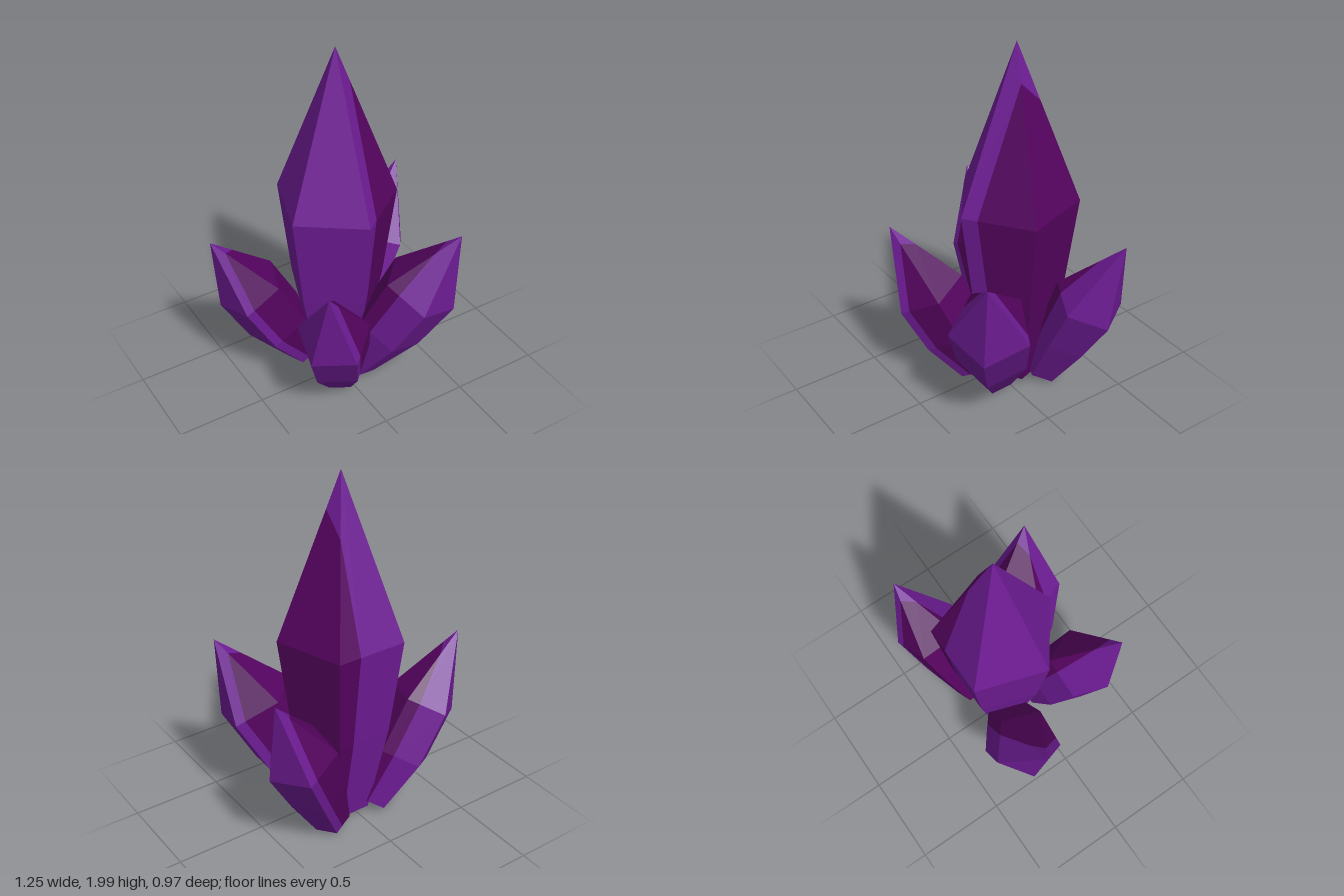
import * as THREE from 'three';

const materials = [
  new THREE.MeshStandardMaterial({ name: 'violet', color: 0x6e1c94 }),
  new THREE.MeshStandardMaterial({ name: 'deepMagenta', color: 0x55035f }),
  new THREE.MeshStandardMaterial({ name: 'paleMauve', color: 0xcc80d0 }),
];
const SIDES = 5;

// Keep the part of a polygon where dist(p) >= 0
function clip(poly, dist) {
  const out = [];
  poly.forEach((p, i) => {
    const q = poly[(i + 1) % poly.length];
    const a = dist(p), b = dist(q);
    if (a >= 0) out.push(p);
    if ((a > 0 && b < 0) || (a < 0 && b > 0)) out.push(p.clone().lerp(q, a / (a - b)));
  });
  return out;
}

// Five-sided pointed crystal. rings: [fraction along axis, radius], base first.
// facing: direction of the first corner; tintAngle: side that carries the deeper colour.
function crystal({ name, base, tip, rings, facing, tintAngle }) {
  const B = new THREE.Vector3(...base), T = new THREE.Vector3(...tip);
  const u = T.clone().sub(B).normalize();
  const e1 = new THREE.Vector3(...facing).projectOnPlane(u).normalize();
  const e2 = u.clone().cross(e1);
  const dir = (t) => e1.clone().multiplyScalar(Math.cos(t)).addScaledVector(e2, Math.sin(t));

  const sections = rings.map(([f, r]) => {
    const c = B.clone().lerp(T, f);
    return Array.from({ length: SIDES }, (_, i) =>
      c.clone().addScaledVector(dir((i / SIDES) * Math.PI * 2), r));
  });

  // Side facets and the facets of the point
  const facets = [];
  for (let i = 0; i < SIDES; i++) {
    const j = (i + 1) % SIDES;
    for (let k = 0; k + 1 < sections.length; k++) {
      const a = sections[k], b = sections[k + 1];
      facets.push([a[i], a[j], b[j], b[i]]);
    }
    const top = sections[sections.length - 1];
    facets.push([top[i], top[j], T]);
  }

  // Divide the two tones along a plane parallel to the axis
  const n = dir(THREE.MathUtils.degToRad(tintAngle));
  const offset = 0.21 * Math.max(...rings.map((r) => r[1]));
  const dist = (p) => p.clone().sub(B).dot(n) - offset;
  const groups = [
    facets.map((f) => clip(f, (p) => -dist(p))),
    facets.map((f) => clip(f, dist)),
    [sections[0].slice().reverse()],
  ];

  const positions = [];
  const geometry = new THREE.BufferGeometry();
  groups.forEach((polys, m) => {
    const start = positions.length / 3;
    for (const p of polys)
      for (let i = 1; i + 1 < p.length; i++)
        for (const v of [p[0], p[i], p[i + 1]]) positions.push(v.x, v.y, v.z);
    geometry.addGroup(start, positions.length / 3 - start, m);
  });
  geometry.setAttribute('position', new THREE.Float32BufferAttribute(positions, 3));
  geometry.computeVertexNormals();
  const mesh = new THREE.Mesh(geometry, materials);
  mesh.name = name;
  return mesh;
}

export function createModel() {
  const group = new THREE.Group();
  group.name = 'crystalCluster';
  const parts = [
    { name: 'mainCrystal', base: [0.045, 0.05, -0.1], tip: [0.045, 2, -0.1],
      rings: [[0, 0.16], [0.27, 0.268], [0.549, 0.338]], facing: [0, 0, 1], tintAngle: 90 },
    { name: 'frontLeftCrystal', base: [0.1, 0.055, 0.065], tip: [0.51, 1.0, 0.4],
      rings: [[0, 0.1], [0.31, 0.198], [0.61, 0.222]], facing: [0.625, -0.47, 0.625], tintAngle: 162 },
    { name: 'frontRightCrystal', base: [-0.05, 0.06, 0.1], tip: [-0.33, 0.96, 0.445],
      rings: [[0, 0.1], [0.28, 0.185], [0.56, 0.203]], facing: [0.14, -0.4, 0.91], tintAngle: 90 },
    { name: 'backLeftCrystal', base: [0.182, 0.056, -0.208], tip: [0.62, 1.02, -0.373],
      rings: [[0, 0.103], [0.3, 0.16], [0.58, 0.195]], facing: [0.91, -0.42, 0.08], tintAngle: 162 },
    { name: 'backRightCrystal', base: [-0.11, 0.055, -0.2], tip: [-0.625, 0.99, -0.25],
      rings: [[0, 0.1], [0.3, 0.188], [0.6, 0.19]], facing: [-0.83, -0.46, -0.31], tintAngle: 162 },
  ];
  for (const p of parts) group.add(crystal(p));
  return group;
}
